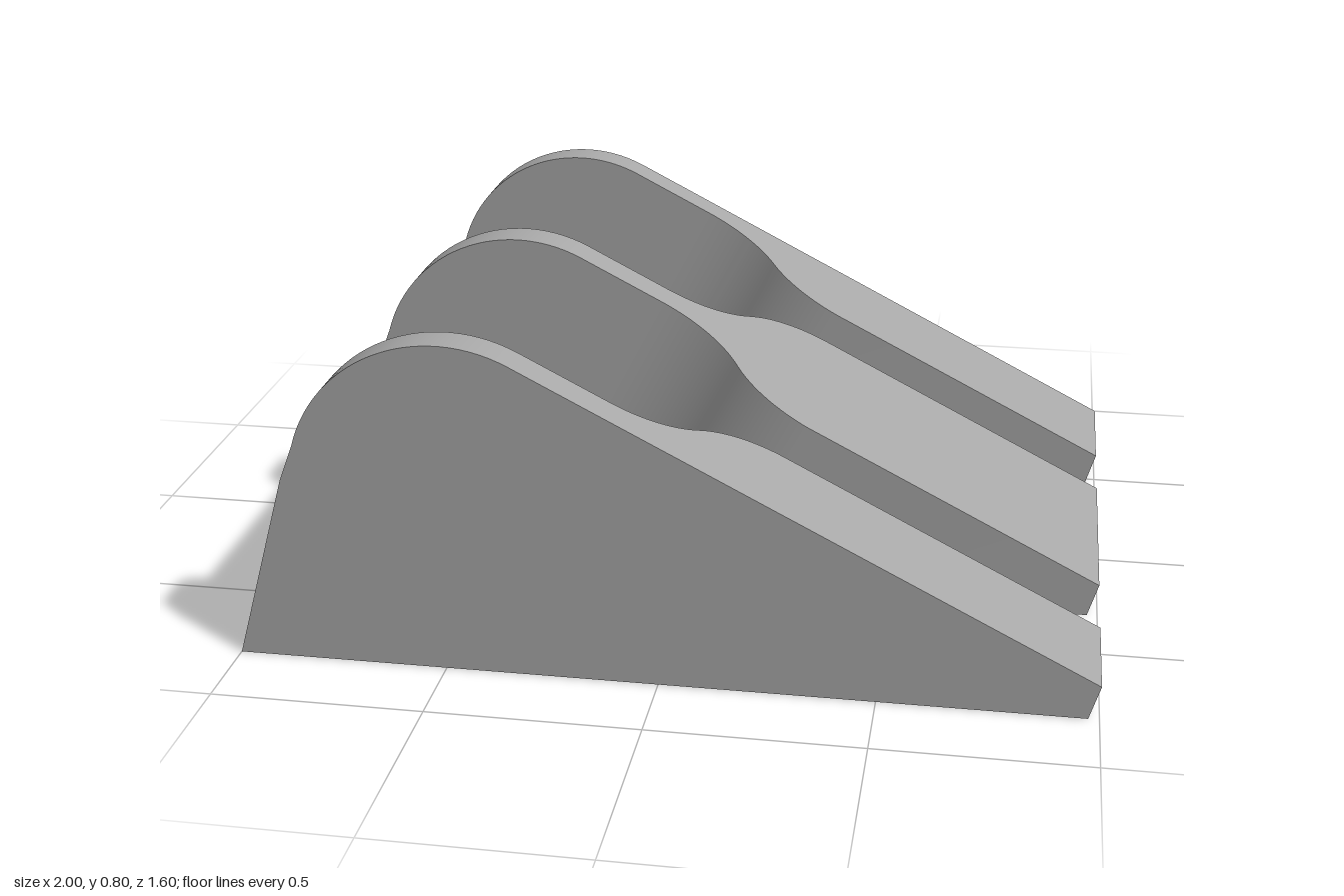
import * as THREE from 'three';
import { toCreasedNormals } from 'three/addons/utils/BufferGeometryUtils.js';

// Slope frame: u runs down the slope, n points out of it
const TILT = 0.474;
const C = Math.cos(TILT), S = Math.sin(TILT);
const toSlope = ([x, y]) => ({ u: x * C - y * S, n: x * S + y * C });
const toModel = (u, n, z) => new THREE.Vector3(u * C + n * S, -u * S + n * C, z);

// Side outline above the sloping pocket floor
const FLOOR_BACK = [-0.87, 0.455], FLOOR_END = [0.01, 0];
const outline = [FLOOR_END, [0.975, 0], [1, 0.083]];
for (let i = 0; i <= 28; i++) {
  const a = THREE.MathUtils.lerp(Math.PI / 2 - TILT, 2.87, i / 28);
  outline.push([-0.49 + 0.36 * Math.cos(a), 0.443 + 0.36 * Math.sin(a)]);
}
outline.push(FLOOR_BACK);
const profile = outline.map(toSlope);

// Lowest and highest n of the convex outline at a given u
function heightRange(u) {
  let lo = Infinity, hi = -Infinity;
  profile.forEach((a, i) => {
    const b = profile[(i + 1) % profile.length];
    if (u < Math.min(a.u, b.u) - 1e-7 || u > Math.max(a.u, b.u) + 1e-7) return;
    const d = b.u - a.u;
    const ends = Math.abs(d) < 1e-6 ? [a.n, b.n] : [a.n + (b.n - a.n) * (u - a.u) / d];
    lo = Math.min(lo, ...ends);
    hi = Math.max(hi, ...ends);
  });
  return [lo, hi];
}

// S-curve of two equal arcs leading from the pocket wall to the slot wall
const CURVE_START = -0.407, CURVE_END = 0.043, RADIUS = 0.28;
function wall(from, to) {
  const h = Math.abs(to - from) / 2;
  const half = Math.sqrt(2 * RADIUS * h - h * h);
  return (u) => {
    const s = u - CURVE_START;
    if (s <= 0) return from;
    if (s >= 2 * half) return to;
    const arc = (d) => RADIUS - Math.sqrt(RADIUS * RADIUS - d * d);
    const k = s < half ? arc(s) : 2 * h - arc(2 * half - s);
    return from + Math.sign(to - from) * k;
  };
}

// Stations: every outline corner plus steps along the S-curve
const stations = profile.map((p) => p.u);
for (let i = 0; i <= 32; i++) stations.push(THREE.MathUtils.lerp(CURVE_START, CURVE_END, i / 32));
stations.sort((a, b) => a - b);

// Rib lofted along the slope between two wall functions
function ribGeometry(zLow, zHigh) {
  const pos = [];
  const tri = (a, b, c) => {
    const area = b.clone().sub(a).cross(c.clone().sub(a)).length();
    if (area > 1e-9) for (const p of [a, b, c]) pos.push(p.x, p.y, p.z);
  };
  const quad = (a, b, c, d) => { tri(a, b, c); tri(a, c, d); };
  const section = (u) => {
    const [lo, hi] = heightRange(u), z0 = zLow(u), z1 = zHigh(u);
    return [toModel(u, lo, z0), toModel(u, lo, z1), toModel(u, hi, z1), toModel(u, hi, z0)];
  };
  const uBack = toSlope(FLOOR_BACK).u, uEnd = toSlope(FLOOR_END).u;
  for (let i = 0; i + 1 < stations.length; i++) {
    const u0 = stations[i], u1 = stations[i + 1], mid = (u0 + u1) / 2;
    if (u1 - u0 < 1e-6) continue;
    const a = section(u0), b = section(u1);
    quad(a[1], b[1], b[2], a[2]);
    quad(b[0], a[0], a[3], b[3]);
    quad(a[2], b[2], b[3], a[3]);
    // underside is open where it rests on the base
    if (mid < uBack || mid > uEnd) quad(a[0], b[0], b[1], a[1]);
  }
  const geo = new THREE.BufferGeometry();
  geo.setAttribute('position', new THREE.Float32BufferAttribute(pos, 3));
  return toCreasedNormals(geo, 0.5);
}

export function createModel() {
  const group = new THREE.Group();
  group.name = 'slottedWedge';
  const grey = new THREE.MeshStandardMaterial({ color: 0xa8a8a8 });
  grey.name = 'grey';
  const add = (name, geo) => {
    const mesh = new THREE.Mesh(geo, grey);
    mesh.name = name;
    group.add(mesh);
  };

  // Base under the sloping pocket floors
  const side = new THREE.Shape([[-1, 0], FLOOR_END, FLOOR_BACK].map((p) => new THREE.Vector2(...p)));
  const base = new THREE.ExtrudeGeometry(side, { depth: 1.6, bevelEnabled: false });
  add('base', base.translate(0, 0, -0.8));

  // Three ribs that widen towards the low end
  add('backRib', ribGeometry(() => -0.8, wall(-0.71, -0.475)));
  add('middleRib', ribGeometry(wall(-0.05, -0.26), wall(0.045, 0.308)));
  add('frontRib', ribGeometry(wall(0.71, 0.523), () => 0.8));
  return group;
}
